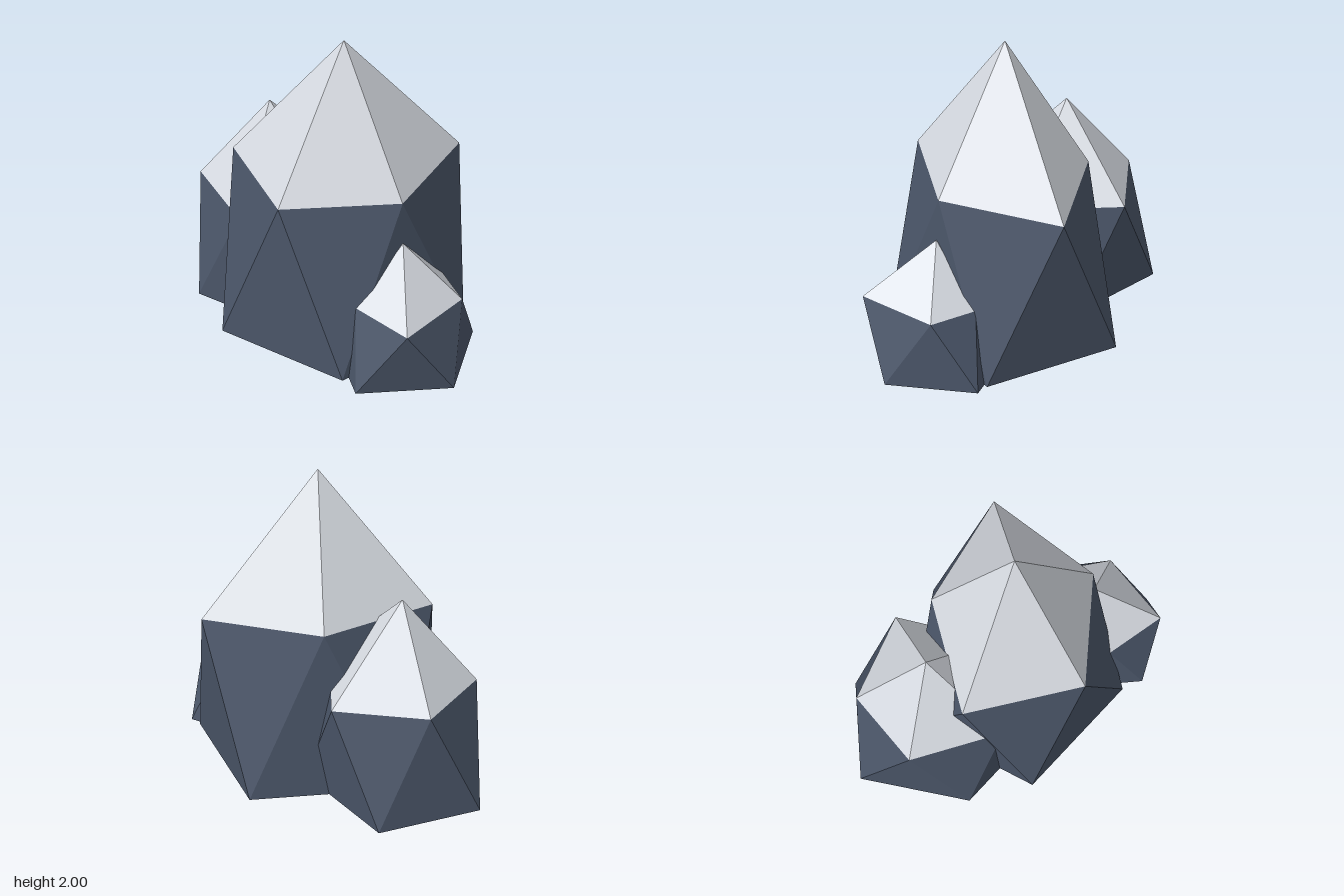
import * as THREE from 'three';

const stone = new THREE.MeshStandardMaterial({ color: 0x4a5568 });
stone.name = 'slate stone';
const snow = new THREE.MeshStandardMaterial({ color: 0xd5d9e0 });
snow.name = 'pale snow';

// Faceted mesh from a list of triangles (each three Vector3 corners)
function facetMesh(name, triangles, material) {
  const geometry = new THREE.BufferGeometry().setFromPoints(triangles.flat());
  geometry.computeVertexNormals(); // unshared corners give flat facets
  const mesh = new THREE.Mesh(geometry, material);
  mesh.name = name;
  return mesh;
}

// A peak: base outline, twisted snow-line outline and apex.
// Outlines are [x, z] pairs; ring corner i lies between base corners i and i + 1.
function peak({ name, base, ring, snowLine, apex }) {
  const low = base.map(([x, z]) => new THREE.Vector3(x, 0, z));
  const mid = ring.map(([x, z]) => new THREE.Vector3(x, snowLine, z));
  const top = new THREE.Vector3(...apex);
  const n = low.length;
  const body = [];
  const cap = [];
  for (let i = 0; i < n; i++) {
    const j = (i + 1) % n;
    body.push([mid[i], low[j], low[i]], [mid[i], mid[j], low[j]]);
    if (i > 0 && i < n - 1) body.push([low[0], low[i], low[j]]); // underside
    cap.push([top, mid[j], mid[i]]);
  }
  const group = new THREE.Group();
  group.name = name;
  group.add(facetMesh(name + 'Rock', body, stone), facetMesh(name + 'SnowCap', cap, snow));
  return group;
}

const peaks = [
  {
    name: 'mainPeak',
    base: [[-0.47, -0.53], [0.52, -0.63], [0.88, 0.22], [0.12, 0.84], [-0.7, 0.39]],
    ring: [[0.04, -0.47], [0.8, -0.25], [0.46, 0.49], [-0.29, 0.61], [-0.65, -0.09]],
    snowLine: 1.12,
    apex: [0.07, 2, 0.06],
  },
  {
    name: 'backPeak',
    base: [[-0.91, 0], [-0.94, -0.76], [-0.29, -0.98], [0.16, -0.38], [-0.3, 0.33]],
    ring: [[-0.92, -0.38], [-0.6, -0.82], [0, -0.72], [0, -0.04], [-0.6, 0.16]],
    snowLine: 0.74,
    apex: [-0.44, 1.32, -0.37],
  },
  {
    name: 'frontPeak',
    base: [[0.45, 0.02], [0.94, 0.28], [0.82, 0.86], [0.21, 0.96], [0.05, 0.5]],
    ring: [[0.72, 0.28], [0.85, 0.56], [0.52, 0.98], [0.19, 0.7], [0.22, 0.27]],
    snowLine: 0.47,
    apex: [0.47, 0.84, 0.51],
  },
];

export function createModel() {
  const model = new THREE.Group();
  model.name = 'mountains';
  for (const p of peaks) model.add(peak(p));
  return model;
}
